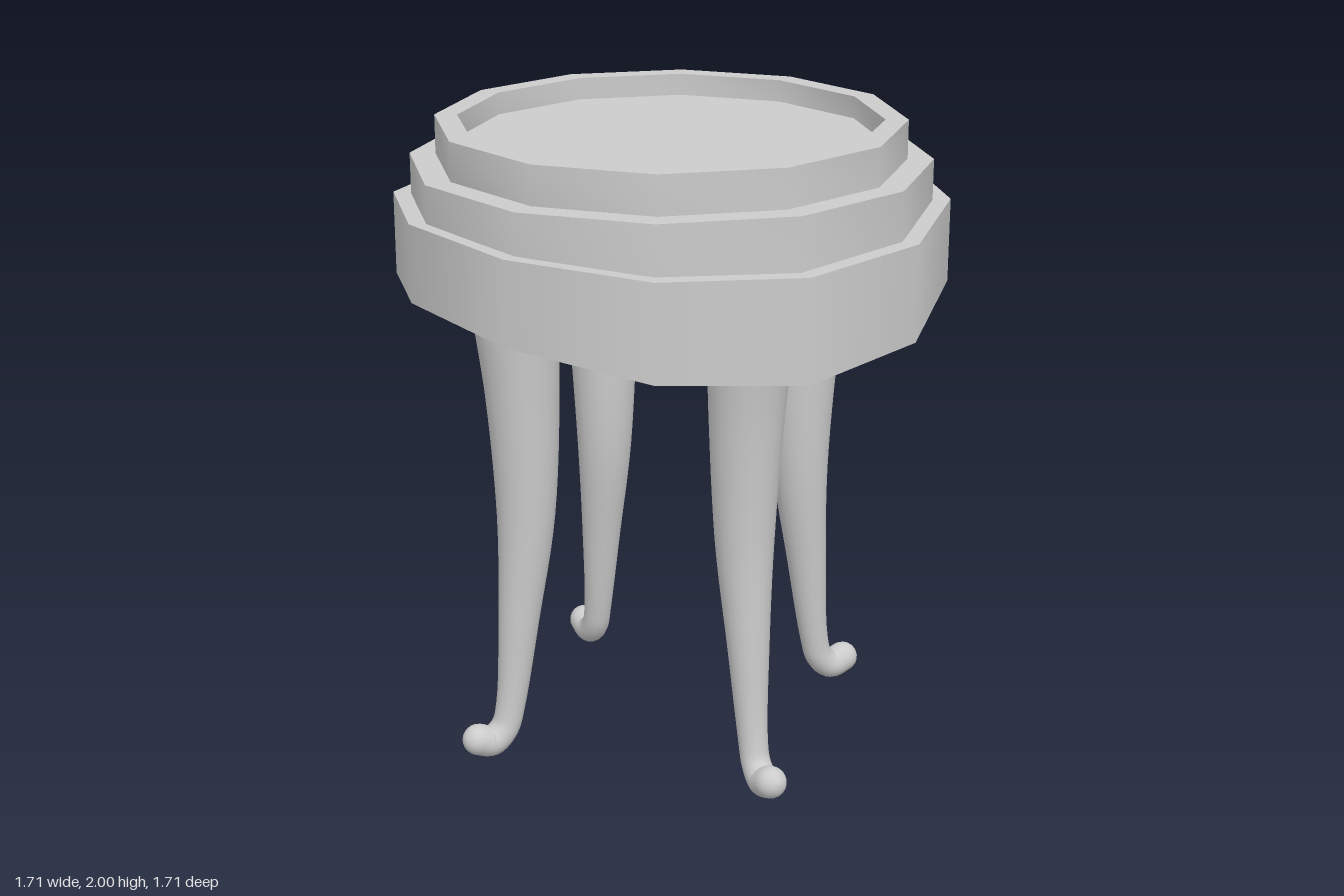
import * as THREE from 'three';
import { toCreasedNormals } from 'three/addons/utils/BufferGeometryUtils.js';

const SIDES = 12, R = 0.855;
const material = new THREE.MeshStandardMaterial({ color: 0xcccccc });
const thin = new THREE.MeshStandardMaterial({ color: 0xcccccc, side: THREE.DoubleSide });

// Apron edges arch upwards towards both x sides
const topEdge = x => 1.717 + 0.053 * (x / R) ** 2;
const bottomEdge = x => 1.4 + 0.13 * (x / R) ** 2;

function mesh(name, geometry, mat = material) {
  const m = new THREE.Mesh(geometry, mat);
  m.name = name;
  return m;
}

// Twelve-sided wall with curved upper and lower edges
function apronWall() {
  const g = new THREE.CylinderGeometry(R, R, 1, SIDES, 1, true);
  const p = g.attributes.position;
  for (let i = 0; i < p.count; i++) {
    p.setY(i, (p.getY(i) > 0 ? topEdge : bottomEdge)(p.getX(i)));
  }
  return g;
}

// Cap made of strips running across z, following an edge curve
function apronCap(edge, up) {
  const n = SIDES / 2;
  const g = new THREE.PlaneGeometry(1, 1, n, 1).rotateX(up ? -Math.PI / 2 : Math.PI / 2);
  const p = g.attributes.position;
  for (let i = 0; i < p.count; i++) {
    const a = Math.PI * (i % (n + 1)) / n;
    const x = -R * Math.cos(a);
    p.setXYZ(i, x, edge(x), Math.sign(p.getZ(i)) * R * Math.sin(a));
  }
  g.computeVertexNormals();
  return g;
}

// Stepped seat with a shallow recess in the top
function seatGeometry() {
  const profile = [[0.8, 1.6], [0.8, 1.88], [0.72, 1.88], [0.72, 2], [0.65, 2], [0.65, 1.93], [0, 1.93]];
  const g = new THREE.LatheGeometry(profile.map(([r, y]) => new THREE.Vector2(r, y)), SIDES);
  return toCreasedNormals(g, 0.7);
}

// Tapered cabriole leg: points hold radial distance, height, thickness
function legGeometry() {
  const path = new THREE.CatmullRomCurve3([
    [0.515, 1.54, 0.134], [0.51, 1.45, 0.129], [0.493, 1.2, 0.114], [0.49, 0.8, 0.091],
    [0.521, 0.47, 0.066], [0.557, 0.17, 0.047], [0.58, 0.09, 0.046],
    [0.625, 0.052, 0.049], [0.672, 0.066, 0.05],
  ].map(v => new THREE.Vector3(...v)), false, 'centripetal');
  const rings = [], steps = 48, sides = 20, round = 6;
  for (let i = 0; i <= steps; i++) {
    const c = path.getPoint(i / steps), t = path.getTangent(i / steps);
    const l = Math.hypot(t.x, t.y);
    rings.push({ x: c.x, y: c.y, r: c.z, tx: t.x / l, ty: t.y / l });
  }
  // Rounded toe
  const end = rings[steps];
  for (let k = 1; k <= round; k++) {
    const a = k / round * Math.PI / 2, d = end.r * Math.sin(a);
    rings.push({ ...end, x: end.x + end.tx * d, y: end.y + end.ty * d, r: end.r * Math.cos(a) });
  }
  const pos = [], index = [];
  rings.forEach(({ x, y, r, tx, ty }, i) => {
    for (let j = 0; j < sides; j++) {
      const a = j / sides * Math.PI * 2, n = r * Math.cos(a);
      pos.push(x - ty * n, y + tx * n, r * Math.sin(a));
      if (i === rings.length - 1) continue;
      const p = i * sides + j, q = i * sides + (j + 1) % sides;
      index.push(p, q, p + sides, q, q + sides, p + sides);
    }
  });
  const g = new THREE.BufferGeometry();
  g.setAttribute('position', new THREE.Float32BufferAttribute(pos, 3));
  g.setIndex(index);
  g.computeVertexNormals();
  return g;
}

export function createModel() {
  const model = new THREE.Group();
  model.name = 'stool';

  const apron = new THREE.Group();
  apron.name = 'apron';
  apron.add(
    mesh('apronWall', apronWall()),
    mesh('apronTop', apronCap(topEdge, true), thin),
    mesh('apronUnderside', apronCap(bottomEdge, false), thin),
  );
  model.add(apron, mesh('seat', seatGeometry()));

  // Four legs, toes pointing outwards
  const geometry = legGeometry();
  [
    ['leftLeg', 0, -0.022, 0.018],
    ['backLeg', 1, -0.006, 0.014],
    ['rightLeg', 2, -0.022, 0.018],
    ['frontLeg', 3, -0.006, 0.014],
  ].forEach(([name, quarter, x, z]) => {
    const leg = mesh(name, geometry);
    leg.rotation.y = quarter * Math.PI / 2;
    leg.position.set(x, 0, z);
    model.add(leg);
  });
  return model;
}
